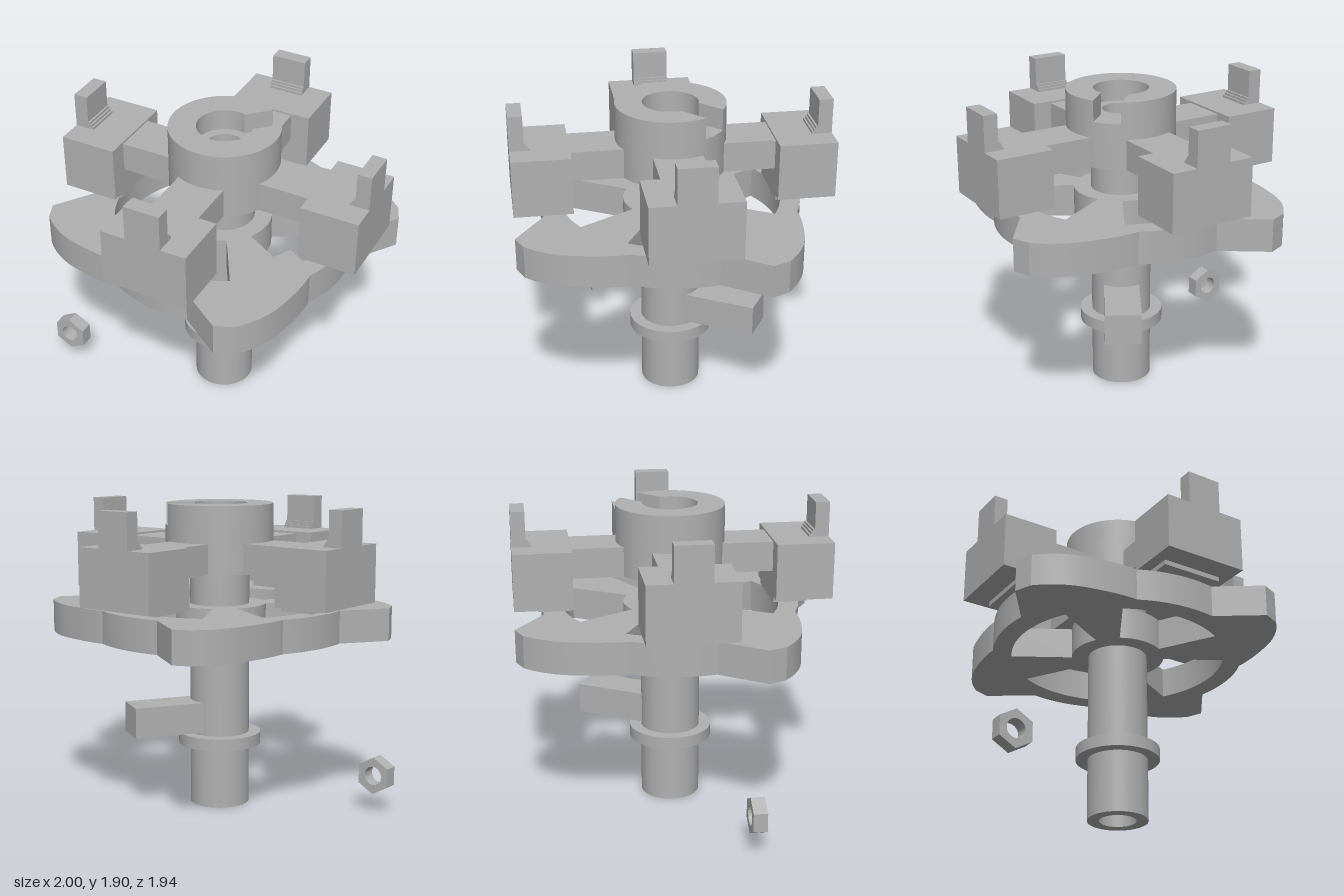
import * as THREE from 'three';
import { toCreasedNormals } from 'three/addons/utils/BufferGeometryUtils.js';

const steel = new THREE.MeshStandardMaterial({ color: 0xb0b0b0 });
steel.name = 'steel grey';

function part(name, geometry, parent) {
  const mesh = new THREE.Mesh(geometry, steel);
  mesh.name = name;
  parent.add(mesh);
  return mesh;
}

// Extrude a plan outline (shape y points to -z) from y0 up to y1
function slab(shape, y0, y1) {
  const g = new THREE.ExtrudeGeometry(shape, { depth: y1 - y0, bevelEnabled: false, curveSegments: 48 });
  g.rotateX(-Math.PI / 2).translate(0, y0, 0);
  return toCreasedNormals(g, 0.4);
}

function circle(r, Type = THREE.Shape) {
  return new Type().absarc(0, 0, r, 0, Math.PI * 2, false);
}

function ring(rOuter, rInner, y0, y1) {
  const s = circle(rOuter);
  s.holes.push(circle(rInner, THREE.Path));
  return slab(s, y0, y1);
}

function box(x0, x1, y0, y1, halfZ) {
  return new THREE.BoxGeometry(x1 - x0, y1 - y0, halfZ * 2).translate((x0 + x1) / 2, (y0 + y1) / 2, 0);
}

// Disc with four cam lobes and four sector windows
function camDisc() {
  const lobe = new THREE.SplineCurve([
    [0.717, 0.326], [0.72, 0.38], [0.709, 0.513], [0.671, 0.70], [0.607, 0.834], [0.535, 0.924],
  ].map(([x, z]) => new THREE.Vector2(x, z))).getPoints(24);
  lobe.push(new THREE.Vector2(0.43, 0.968), new THREE.Vector2(0.165, 0.785));
  const a0 = Math.atan2(0.785, 0.165), a1 = Math.atan2(0.717, -0.326);
  for (let i = 1; i < 8; i++) {
    const a = a0 + (a1 - a0) * i / 8, r = 0.802 + (0.788 - 0.802) * i / 8;
    lobe.push(new THREE.Vector2(Math.cos(a) * r, Math.sin(a) * r));
  }
  const outline = [];
  for (let k = 0; k < 4; k++) {
    for (const p of lobe) {
      const q = p.clone().rotateAround(new THREE.Vector2(), k * Math.PI / 2);
      outline.push(new THREE.Vector2(q.x, -q.y));
    }
  }
  const shape = new THREE.Shape(outline);
  shape.holes.push(circle(0.15, THREE.Path));
  for (let k = 0; k < 4; k++) {
    const a = k * Math.PI / 2, h = Math.PI / 6;
    const win = new THREE.Path();
    win.absarc(0, 0, 0.67, a - h, a + h, false);
    win.absarc(0, 0, 0.29, a + h, a - h, true);
    win.closePath();
    shape.holes.push(win);
  }
  return slab(shape, 1.08, 1.28);
}

// Upper hub ring, cut through by a parallel slot
function slottedRing(rOuter, rInner, halfSlot, y0, y1) {
  const a = Math.asin(halfSlot / rOuter), b = Math.asin(halfSlot / rInner);
  const s = new THREE.Shape();
  s.absarc(0, 0, rOuter, a, Math.PI * 2 - a, false);
  s.absarc(0, 0, rInner, Math.PI * 2 - b, b, true);
  s.closePath();
  return slab(s, y0, y1);
}

// Arm carrying a jaw block, with a stepped post and a pad below
function jaw() {
  const g = new THREE.Group();
  part('arm', box(0.2, 0.64, 1.49, 1.673, 0.147), g);
  part('jawBlock', box(0.613, 0.965, 1.335, 1.685, 0.266), g);
  part('jawPad', box(0.613, 0.822, 1.305, 1.335, 0.195), g);
  const post = new THREE.Shape([
    [0.965, 1.685], [0.965, 1.9], [0.878, 1.9], [0.878, 1.73], [0.866, 1.73],
    [0.866, 1.715], [0.855, 1.715], [0.855, 1.7], [0.843, 1.7], [0.843, 1.685],
  ].map(([x, y]) => new THREE.Vector2(x, y)));
  part('jawPost', new THREE.ExtrudeGeometry(post, { depth: 0.22, bevelEnabled: false }).translate(0, 0, -0.11), g);
  return g;
}

export function createModel() {
  const model = new THREE.Group();
  model.name = 'jawFixture';
  const body = new THREE.Group();
  body.name = 'fixtureBody';
  body.position.x = 0.03;
  model.add(body);

  // Hollow shaft, collar and side bar
  part('shaft', ring(0.185, 0.113, 0, 1.5), body);
  part('collar', ring(0.258, 0.15, 0.385, 0.46), body);
  part('sideBar', box(0.13, 0.59, 0.48, 0.67, 0.11), body).rotation.y = THREE.MathUtils.degToRad(59.5);

  part('camDisc', camDisc(), body);

  // Hub with a counterbore and slot at the top
  part('hub', ring(0.333, 0.113, 1.49, 1.77), body);
  part('hubRim', slottedRing(0.333, 0.168, 0.083, 1.77, 1.9), body).rotation.y = THREE.MathUtils.degToRad(44);

  for (let k = 0; k < 4; k++) {
    const j = jaw();
    j.name = 'jaw' + (k + 1);
    j.rotation.y = k * Math.PI / 2;
    body.add(j);
  }

  // Loose hexagonal nut
  const hex = new THREE.Shape();
  for (let i = 0; i < 6; i++) {
    const a = Math.PI / 2 + i * Math.PI / 3;
    hex[i ? 'lineTo' : 'moveTo'](Math.cos(a) * 0.117, Math.sin(a) * 0.117);
  }
  hex.closePath();
  hex.holes.push(circle(0.058, THREE.Path));
  const nut = new THREE.ExtrudeGeometry(hex, { depth: 0.085, bevelEnabled: false, curveSegments: 32 });
  part('nut', toCreasedNormals(nut, 0.4), model).position.set(-0.9, 0.242, 0.345);

  return model;
}
